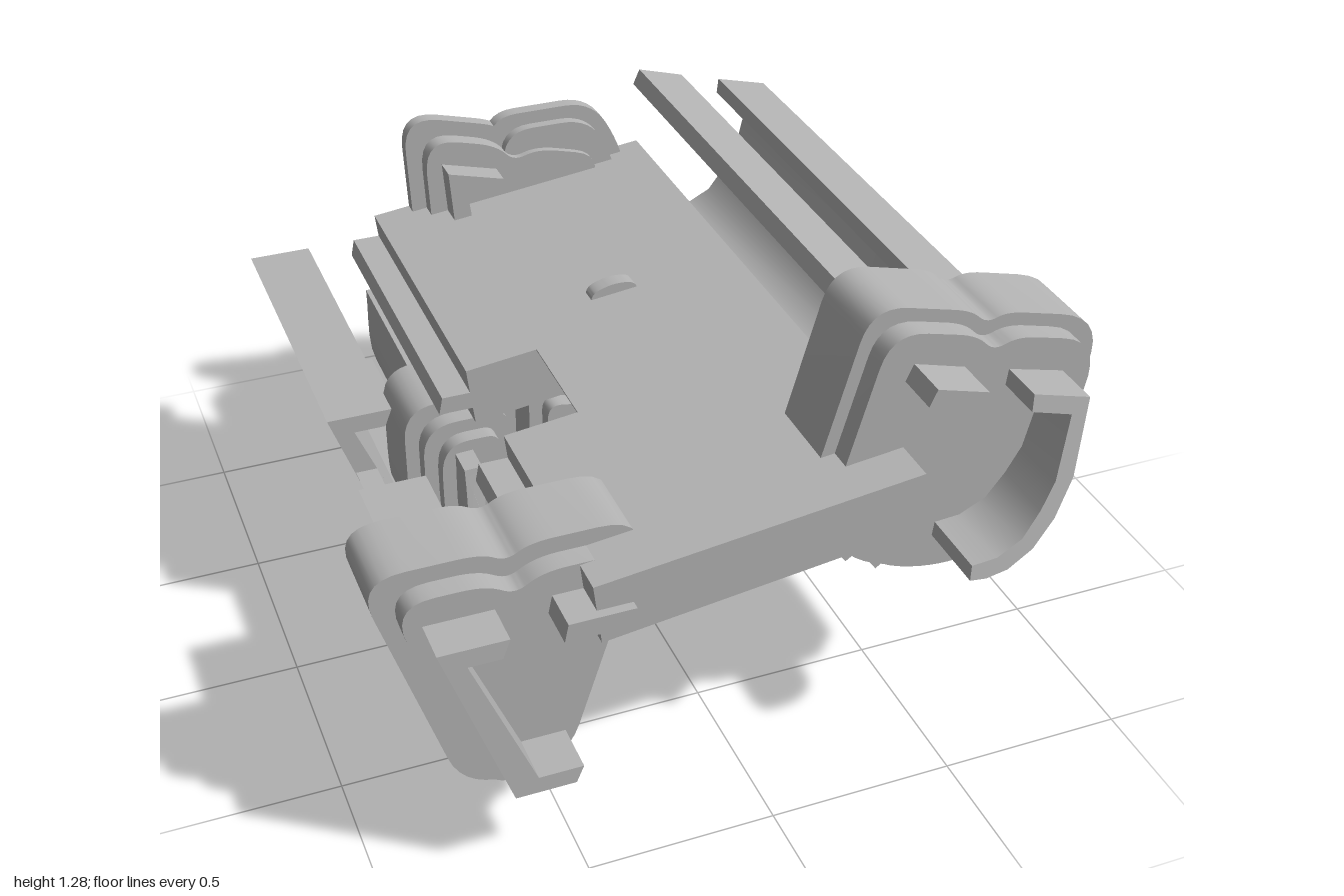
import * as THREE from 'three';
import { toCreasedNormals } from 'three/addons/utils/BufferGeometryUtils.js';

const grey = new THREE.MeshStandardMaterial({ color: 0xb4b4b4 });
grey.name = 'plain grey';
const V = (p) => p.map(([x, y]) => new THREE.Vector2(x, y));

// Extrude an outline from z0 to z1; lean(y) pushes the front end forward.
function prism(parent, name, pts, z0, z1, lean) {
  const shape = pts instanceof THREE.Shape ? pts : new THREE.Shape(V(pts));
  const geo = new THREE.ExtrudeGeometry(shape, { depth: z1 - z0, bevelEnabled: false, curveSegments: 7 });
  geo.translate(0, 0, z0);
  if (lean) {
    const p = geo.attributes.position;
    for (let i = 0; i < p.count; i++) {
      if (p.getZ(i) > z1 - 1e-4) p.setZ(i, z1 + lean(p.getY(i)));
    }
    geo.computeVertexNormals();
  }
  const mesh = new THREE.Mesh(toCreasedNormals(geo, 0.5), grey);
  mesh.name = name;
  parent.add(mesh);
  return mesh;
}

// Polygon with softened corners; a point may carry its own radius.
function rounded(pts, r) {
  const s = new THREE.Shape();
  const P = V(pts), n = P.length;
  P.forEach((c, i) => {
    const a = P[(i + n - 1) % n], b = P[(i + 1) % n], rad = pts[i][2] ?? r;
    const da = a.clone().sub(c), db = b.clone().sub(c);
    const p = c.clone().add(da.clone().setLength(Math.min(rad, da.length() * 0.48)));
    const q = c.clone().add(db.clone().setLength(Math.min(rad, db.length() * 0.48)));
    if (i === 0) s.moveTo(p.x, p.y); else s.lineTo(p.x, p.y);
    s.quadraticCurveTo(c.x, c.y, q.x, q.y);
  });
  s.closePath();
  return s;
}

// Move every edge of a clockwise outline inwards by d.
function inset(pts, d) {
  const n = pts.length;
  return pts.map(([x, y, r], i) => {
    const a = pts[(i + n - 1) % n], b = pts[(i + 1) % n];
    const u = new THREE.Vector2(x - a[0], y - a[1]).normalize();
    const w = new THREE.Vector2(b[0] - x, b[1] - y).normalize();
    const k = d / Math.max(0.5, 1 + u.dot(w));
    return [x + (u.y + w.y) * k, y - (u.x + w.x) * k, r];
  });
}

// Stack of plates, each layer stepped in from the one behind.
function steppedPlate(parent, name, pts, r, zs, step) {
  const g = new THREE.Group();
  g.name = name;
  for (let i = 0; i + 1 < zs.length; i++) {
    prism(g, 'layer', rounded(i ? inset(pts, step * i) : pts, r), zs[i], zs[i + 1]);
  }
  parent.add(g);
}

// Outline of a curved strip of constant width.
function strip(path, w) {
  const c = new THREE.CatmullRomCurve3(path.map(([x, y]) => new THREE.Vector3(x, y, 0)));
  const left = [], right = [];
  for (let i = 0; i <= 28; i++) {
    const p = c.getPoint(i / 28), t = c.getTangent(i / 28);
    left.push([p.x - t.y * w / 2, p.y + t.x * w / 2]);
    right.unshift([p.x + t.y * w / 2, p.y - t.x * w / 2]);
  }
  return [...left, ...right];
}

const turn = (pts, a, [cx, cy], [tx, ty]) => pts.map(([x, y, r]) => [
  tx + (x - cx) * Math.cos(a) - (y - cy) * Math.sin(a),
  ty + (x - cx) * Math.sin(a) + (y - cy) * Math.cos(a), r]);

export function createModel() {
  const root = new THREE.Group();
  root.name = 'railAssembly';
  const n0 = -0.065, n1 = 0.26; // cross notch cut through the rails

  // Right-hand wedge plate with its angled rail
  const wedge = [[-0.97, 0.86, 0.12], [-0.67, 0.86, 0.06], [-0.61, 0.825, 0.03], [-0.55, 0.86, 0.06],
    [-0.25, 0.86, 0.12], [-0.45, 0.145, 0.1], [-0.5, 0.145, 0.01], [-0.72, 0.145, 0.01], [-0.76, 0.145, 0.1]];
  wedge[4] = [-0.245, 0.86, 0.14];
  wedge.splice(5, 4, [-0.475, 0.145, 0.12], [-0.745, 0.145, 0.12]);
  steppedPlate(root, 'wedgePlate', wedge, 0.1, [0.56, 0.77, 0.83], 0.045);
  const angle = [[-0.835, 0.74], [-0.66, 0.74], [-0.68, 0.69], [-0.765, 0.69], [-0.61, 0.31],
    [-0.495, 0.31], [-0.515, 0.265], [-0.67, 0.265]];
  const angleCut = [[-0.77, 0.56], [-0.712, 0.56], ...angle.slice(4)];
  const tab = [[-0.52, 0.74], [-0.35, 0.74], [-0.37, 0.69], [-0.53, 0.69]];
  prism(root, 'angleRailBack', angle, -1, n0);
  prism(root, 'angleRailNotch', angleCut, n0, n1);
  prism(root, 'angleRailFront', angle, n1, 0.945, (y) => (0.74 - y) * 0.045);
  prism(root, 'angleTabBack', tab, -1, n0);
  prism(root, 'angleTabFront', tab, n1, 0.945);

  // Left-hand cup plate with its hooked rail
  const cup = [[0.32, 1.295, 0.1], [0.59, 1.225, 0.05], [0.635, 1.18, 0.03], [0.69, 1.2, 0.05],
    [0.98, 1.125, 0.14], [0.86, 0.68, 0.14], [0.74, 0.5, 0.13], [0.52, 0.47, 0.13],
    [0.3, 0.54, 0.13], [0.175, 0.77, 0.13]];
  steppedPlate(root, 'cupPlate', cup, 0.1, [0.53, 0.74, 0.8], 0.035);
  const hook = [[0.675, 1.075], [0.83, 1.035], [0.79, 0.83], [0.74, 0.73], [0.68, 0.66], [0.61, 0.62],
    [0.55, 0.61], [0.505, 0.615], [0.51, 0.655], [0.58, 0.66], [0.65, 0.695], [0.7, 0.76],
    [0.74, 0.83], [0.78, 1.0], [0.67, 1.03]];
  const hookCut = [...hook.slice(0, 3), ...hook.slice(12)];
  prism(root, 'hookRailBack', hook, -1, n0);
  prism(root, 'hookRailNotch', hookCut, n0, n1);
  prism(root, 'hookRailFront', hook, n1, 0.92, (y) => Math.max(0, 1.08 - y) * 0.17);
  prism(root, 'hookTab', [[0.41, 1.15], [0.55, 1.11], [0.535, 1.065], [0.39, 1.105]], -1, 0.92);

  // Lower slotted cup with a trough rail
  const lower = [[-0.61, 0.67], [-0.29, 0.67, 0.04], [-0.29, 0.29, 0.02], [-0.25, 0.29, 0.02],
    [-0.25, 0.67, 0.05], [0.0, 0.62, 0.12], [0.08, 0.4], [0.06, 0.2, 0.15], [-0.07, 0.03, 0.12],
    [-0.27, -0.015, 0.12], [-0.48, 0.05, 0.12], [-0.61, 0.24, 0.15]];
  steppedPlate(root, 'lowerCup', lower, 0.1, [-0.37, -0.15, -0.1, -0.055], 0.038);
  const trough = strip([[-0.47, 0.56], [-0.46, 0.32], [-0.38, 0.19], [-0.26, 0.15], [-0.14, 0.19],
    [-0.08, 0.28], [-0.07, 0.4]], 0.05);
  prism(root, 'troughRail', trough, -1, 0.03, (y) => Math.max(0, 0.55 - y) * 0.17);

  // Sloping deck, notched on its low side
  const deck = [[-0.45, 0.81], [0.4, 0.912], [0.42, 0.75], [-0.43, 0.64]];
  prism(root, 'deckBack', deck, -1, n0);
  prism(root, 'deckNotch', [[-0.25, 0.834], [0.4, 0.912], [0.41, 0.83], [-0.25, 0.83]], n0, n1);
  prism(root, 'deckFront', deck, n1, 0.92);
  prism(root, 'deckTab', rounded([[-0.04, 0.84], [-0.035, 0.88], [0.03, 0.9], [0.095, 0.893], [0.1, 0.85]], 0.03),
    -0.26, -0.215);

  // Slanted beam under the deck, its low end stepped towards the front
  const ux = 0.814, uy = 0.581, beam = (s) => [
    [0.025 + ux * s, 0.438 + uy * s], [0.452, 0.743], [0.351, 0.884], [-0.076 + ux * s, 0.579 + uy * s]];
  prism(root, 'beamBack', beam(0), -1, n0);
  prism(root, 'beamNotch', [[0.025, 0.438], [0.196, 0.56], [-0.062, 0.56]], n0, n1);
  for (let i = 0; i < 8; i++) {
    prism(root, 'beamStep', beam(i * 0.048), i ? 0.31 + (i - 1) * 0.083 : n1, 0.31 + i * 0.083);
  }

  // Box beam with side steps rising to the back
  prism(root, 'boxBeam', [[-0.14, 0.49], [0.13, 0.49], [0.13, 0.31], [-0.14, 0.31]], -1, 0.02);
  for (let i = 0; i < 8; i++) {
    const x = 0.14 + i * 0.018, y = 0.505 + i * 0.014;
    prism(root, 'sideStep', [[0.05, y], [x, y], [x, 0.415], [0.05, 0.415]], -1, -0.25 - i * 0.08);
  }

  // Back wall made of two overlapping plates
  const from = [-0.61, 0.5], to = [-0.1, 0.7], tilt = -Math.PI / 12;
  steppedPlate(root, 'backWedge', turn(wedge, tilt, from, to), 0.1, [-1, -0.96, -0.91], 0.045);
  prism(root, 'backBracket', turn(angle, tilt, from, to), -0.91, -0.84);
  const wall = [[-0.09, 1.09], [0.24, 1.09], [0.33, 0.93], [0.38, 0.68], [0.47, 0.55], [0.45, 0.38],
    [0.1, 0.38], [-0.12, 0.45]];
  steppedPlate(root, 'backWall', wall, 0.09, [-1, -0.96, -0.93], 0.04);
  return root;
}
